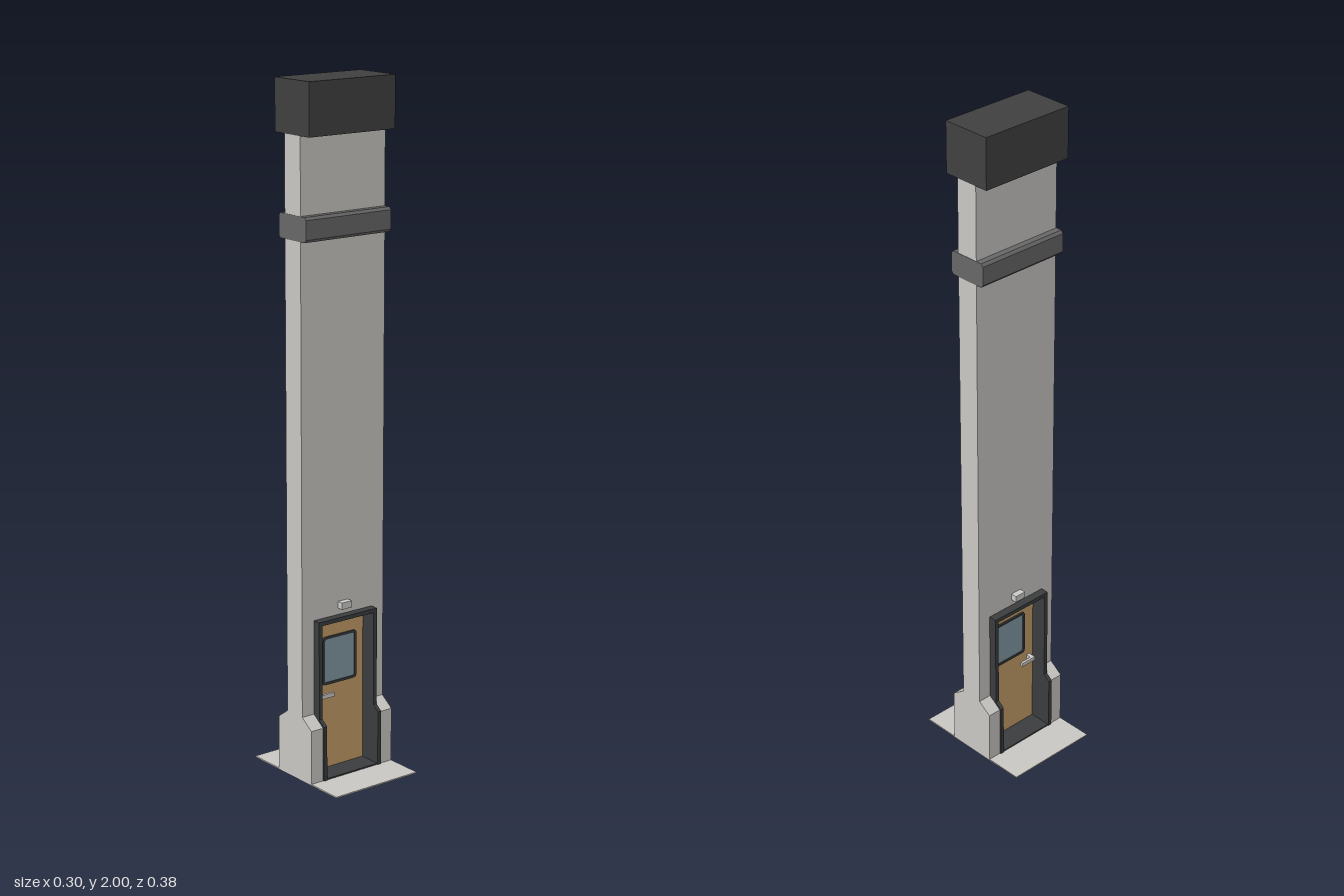
import * as THREE from 'three';

const mat = (name, color) => {
  const m = new THREE.MeshStandardMaterial({ color });
  m.name = name;
  return m;
};

export function createModel() {
  const concrete = mat('pale concrete', 0xc9c7c3);
  const capDark = mat('cap charcoal', 0x404040);
  const bandGrey = mat('band grey', 0x676767);
  const frameDark = mat('frame charcoal', 0x3a3c3e);
  const wood = mat('door wood', 0xc49c66);
  const glass = mat('window glass', 0x8299a3);
  const metal = mat('handle metal', 0xcbcbc9);

  const model = new THREE.Group();
  model.name = 'wallWithDoor';

  const add = (name, geometry, material, parent = model) => {
    const mesh = new THREE.Mesh(geometry, material);
    mesh.name = name;
    parent.add(mesh);
    return mesh;
  };
  // box given by its limits on each axis
  const box = (name, material, x0, x1, y0, y1, z0, z1, parent) => {
    const g = new THREE.BoxGeometry(x1 - x0, y1 - y0, z1 - z0);
    g.translate((x0 + x1) / 2, (y0 + y1) / 2, (z0 + z1) / 2);
    return add(name, g, material, parent);
  };
  // half profile of [z, y] points, bottom to top, mirrored in z and run along x
  const run = (name, material, half, x0, x1) => {
    const pts = [...half, ...half.slice().reverse().map(([z, y]) => [-z, y])];
    const shape = new THREE.Shape(pts.map(([z, y]) => new THREE.Vector2(z, y)));
    const g = new THREE.ExtrudeGeometry(shape, { depth: x1 - x0, bevelEnabled: false });
    g.rotateY(-Math.PI / 2);
    g.translate(x1, 0, 0);
    return add(name, g, material);
  };
  const roundRect = (path, x0, x1, y0, y1, r) => {
    path.moveTo(x0 + r, y0).lineTo(x1 - r, y0).quadraticCurveTo(x1, y0, x1, y0 + r);
    path.lineTo(x1, y1 - r).quadraticCurveTo(x1, y1, x1 - r, y1);
    path.lineTo(x0 + r, y1).quadraticCurveTo(x0, y1, x0, y1 - r);
    path.lineTo(x0, y0 + r).quadraticCurveTo(x0, y0, x0 + r, y0);
    return path;
  };

  const W = 0.147, OPEN = 0.105, DOOR_TOP = 0.477, JAMB = 0.012;

  // floor slab
  box('floorSlab', concrete, -W, W, 0, 0.004, -0.192, 0.192);

  // wall: two side columns with a sloped skirt, and the panel over the door
  const column = [[0.077, 0.004], [0.077, 0.165], [0.035, 0.195], [0.035, 1.86]];
  run('wallColumnRight', concrete, column, -W, -OPEN);
  run('wallColumnLeft', concrete, column, OPEN, W);
  box('wallPanel', concrete, -OPEN, OPEN, DOOR_TOP, 1.86, -0.035, 0.035);

  // chamfered band and top cap
  run('band', bandGrey,
    [[0.054, 1.565], [0.061, 1.573], [0.061, 1.627], [0.054, 1.635]], -W - 0.001, W + 0.001);
  box('cap', capDark, -W - 0.001, W + 0.001, 1.852, 2, -0.076, 0.076);

  // door frame through the wall, deeper where it passes the skirt
  const jamb = [[0.081, 0.004], [0.081, 0.168], [0.06, 0.184], [0.06, DOOR_TOP]];
  run('jambRight', frameDark, jamb, -OPEN, -OPEN + JAMB);
  run('jambLeft', frameDark, jamb, OPEN - JAMB, OPEN);
  box('lintel', frameDark, -OPEN + JAMB, OPEN - JAMB, DOOR_TOP - JAMB, DOOR_TOP, -0.06, 0.06);
  box('threshold', frameDark, -OPEN + JAMB, OPEN - JAMB, 0.004, 0.008, -0.079, 0.079);

  // door leaf
  const D = 0.01;
  box('doorLeaf', wood, -OPEN + JAMB, OPEN - JAMB, 0.008, DOOR_TOP - JAMB, -D, D);

  // fittings on both faces, reflected front to back
  for (const [side, s] of [['front', 1], ['back', -1]]) {
    const g = new THREE.Group();
    g.name = side + 'Fittings';
    model.add(g);
    const slab = (name, m, x0, x1, y0, y1, za, zb) =>
      box(name, m, x0, x1, y0, y1, Math.min(s * za, s * zb), Math.max(s * za, s * zb), g);

    // window with rounded trim
    slab('windowGlass', glass, -0.05, 0.06, 0.269, 0.402, D, D + 0.002);
    const trim = roundRect(new THREE.Shape(), -0.056, 0.066, 0.263, 0.408, 0.01);
    trim.holes.push(roundRect(new THREE.Path(), -0.049, 0.059, 0.27, 0.401, 0.007));
    const trimGeo = new THREE.ExtrudeGeometry(trim, { depth: 0.005, bevelEnabled: false, curveSegments: 3 });
    trimGeo.translate(0, 0, s > 0 ? D : -D - 0.005);
    add('windowTrim', trimGeo, frameDark, g);

    // lever handle
    slab('handleStem', metal, -0.08, -0.068, 0.231, 0.243, D, D + 0.016);
    slab('handleLever', metal, -0.08, -0.029, 0.231, 0.243, D + 0.016, D + 0.024);

    // small lamp over the door
    slab('lamp', metal, -0.018, 0.018, 0.496, 0.516, 0.035, 0.054);
  }
  return model;
}
